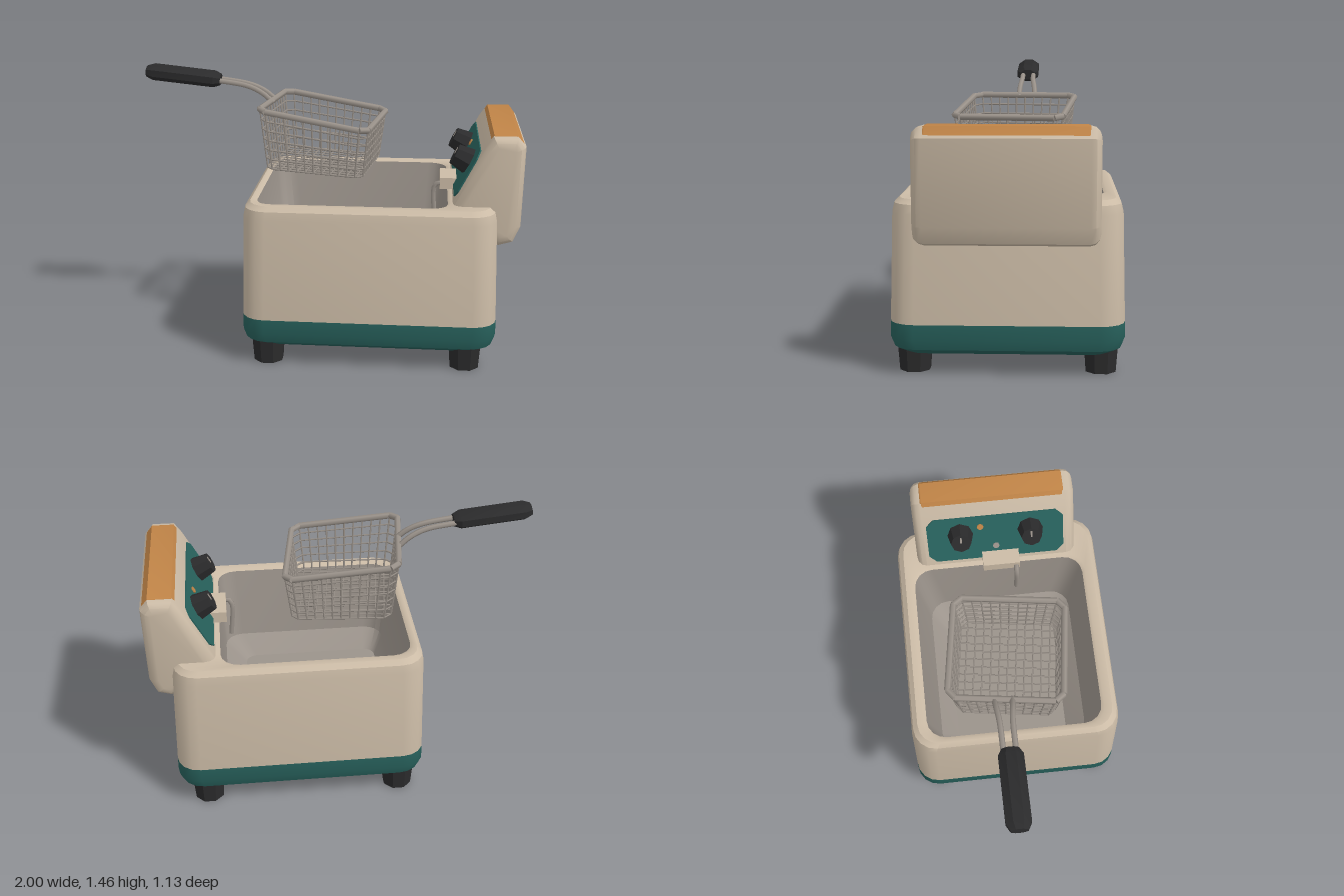
import * as THREE from 'three';
import { mergeGeometries, toCreasedNormals } from 'three/addons/utils/BufferGeometryUtils.js';

const paint = (name, color) => {
  const m = new THREE.MeshStandardMaterial({ color });
  m.name = name;
  return m;
};

// Rounded rectangle at height y, counter-clockwise from above
function ring([y, x0, x1, z0, z1, r], seg = 4) {
  const corners = [[x1 - r, z0 + r], [x0 + r, z0 + r], [x0 + r, z1 - r], [x1 - r, z1 - r]];
  return corners.flatMap(([cx, cz], k) => Array.from({ length: seg + 1 }, (_, i) => {
    const a = (k + i / seg) * Math.PI / 2;
    return new THREE.Vector3(cx + r * Math.cos(a), y, cz - r * Math.sin(a));
  }));
}

// Skin through rounded rectangles, with optional end caps
function loft(sections, capFirst, capLast) {
  const rings = sections.map(s => ring(s));
  const n = rings[0].length;
  const pts = [];
  const centre = s => new THREE.Vector3((s[1] + s[2]) / 2, s[0], (s[3] + s[4]) / 2);
  for (let i = 0; i < n; i++) {
    const j = (i + 1) % n;
    for (let k = 0; k + 1 < rings.length; k++) {
      const a = rings[k], b = rings[k + 1];
      pts.push(a[i], a[j], b[j], a[i], b[j], b[i]);
    }
    if (capFirst) pts.push(centre(sections[0]), rings[0][j], rings[0][i]);
    if (capLast) pts.push(centre(sections.at(-1)), rings.at(-1)[i], rings.at(-1)[j]);
  }
  return toCreasedNormals(new THREE.BufferGeometry().setFromPoints(pts), 0.6);
}

// Straight rod between two points
function rod(a, b, r, sides = 4) {
  const d = b.clone().sub(a);
  const g = new THREE.CylinderGeometry(r, r, d.length(), sides);
  g.applyQuaternion(new THREE.Quaternion().setFromUnitVectors(new THREE.Vector3(0, 1, 0), d.normalize()));
  return g.translate((a.x + b.x) / 2, (a.y + b.y) / 2, (a.z + b.z) / 2);
}

// Profile in x-y, extruded along z between z0 and z1 with rounded ends
function slab(points, z0, z1, bevel) {
  const shape = new THREE.Shape(points.map(p => new THREE.Vector2(...p)));
  const g = new THREE.ExtrudeGeometry(shape, {
    depth: z1 - z0 - 2 * bevel, bevelSize: bevel, bevelThickness: bevel, bevelOffset: -bevel, bevelSegments: 3,
  });
  return toCreasedNormals(g.translate(0, 0, z0 + bevel), 0.6);
}

export function createModel() {
  const root = new THREE.Group();
  root.name = 'deepFryer';
  const cream = paint('cream enamel', 0xcbbba6);
  const green = paint('dark green', 0x28625d);
  const black = paint('black plastic', 0x2b2b2c);
  const orange = paint('copper orange', 0xc08447);
  const steel = paint('steel', 0x9b938b);
  const add = (name, geometry, material, parent = root) => {
    const m = new THREE.Mesh(geometry, material);
    m.name = name;
    parent.add(m);
    return m;
  };

  // Housing: green base, cream walls and rim, steel basin
  const seam = [0.255, -0.417, 0.884, -0.563, 0.563, 0.12];
  const lip = [0.838, -0.345, 0.625, -0.465, 0.46, 0.1];
  add('base', loft([
    [0.1, -0.35, 0.82, -0.5, 0.5, 0.1],
    [0.13, -0.405, 0.87, -0.548, 0.548, 0.12],
    [0.18, -0.418, 0.885, -0.565, 0.565, 0.12],
    seam,
  ], true, false), green);
  add('housing', loft([
    seam,
    [0.78, -0.406, 0.87, -0.55, 0.55, 0.12],
    [0.825, -0.398, 0.862, -0.54, 0.54, 0.12],
    [0.848, -0.375, 0.84, -0.515, 0.515, 0.11],
    [0.848, -0.36, 0.64, -0.48, 0.475, 0.1],
    lip,
  ]), cream);
  add('basin', loft([
    lip,
    [0.45, -0.3, 0.6, -0.4, 0.4, 0.1],
    [0.36, -0.25, 0.49, -0.31, 0.3, 0.06],
  ], false, true), steel);

  // Feet
  for (const x of [-0.285, 0.73]) for (const z of [-0.45, 0.45]) {
    const foot = new THREE.CylinderGeometry(0.088, 0.078, 0.13, 8).rotateY(Math.PI / 8);
    add('foot', toCreasedNormals(foot, 0.5), black).position.set(x, 0.065, z);
  }

  // Control head with copper top
  add('controlHead', slab([
    [0.645, 0.84], [0.8, 1.14], [0.84, 1.198], [0.96, 1.198], [1.0, 1.15],
    [0.99, 0.74], [0.955, 0.66], [0.88, 0.638], [0.65, 0.78],
  ].reverse(), -0.438, 0.435, 0.05), cream);
  add('headCap', slab([
    [0.817, 1.163], [0.842, 1.203], [0.96, 1.203], [0.99, 1.163],
  ].reverse(), -0.39, 0.38, 0.012), orange);

  // Sloping control panel: local x runs along z, local z points outward
  const panel = new THREE.Group();
  panel.name = 'controlPanel';
  const up = new THREE.Vector3(0.155, 0.3, 0).normalize();
  const side = new THREE.Vector3(0, 0, 1);
  const out = side.clone().cross(up);
  panel.applyMatrix4(new THREE.Matrix4().makeBasis(side, up, out));
  panel.position.set(0.7225, 0.99, 0).addScaledVector(out, 0.001);
  root.add(panel);
  const w = 0.37, h = 0.135, c = 0.04;
  const plate = new THREE.Shape([
    [-w + c, -h], [w - c, -h], [w, -h + c], [w, h - c], [w - c, h], [-w + c, h], [-w, h - c], [-w, -h + c],
  ].map(p => new THREE.Vector2(...p)));
  add('panelPlate', new THREE.ExtrudeGeometry(plate, { depth: 0.007, bevelEnabled: false }), green, panel);
  for (const x of [-0.19, 0.19]) {
    const knob = new THREE.CylinderGeometry(0.055, 0.07, 0.085, 8).rotateX(Math.PI / 2);
    add('knob', toCreasedNormals(knob, 0.5), black, panel).position.set(x, 0.03, 0.048);
    add('knobPointer', new THREE.BoxGeometry(0.01, 0.035, 0.006), steel, panel).position.set(x, 0.05, 0.091);
  }
  const disc = () => new THREE.CylinderGeometry(0.018, 0.018, 0.008, 8).rotateX(Math.PI / 2);
  add('lamp', disc(), orange, panel).position.set(-0.08, 0.07, 0.009);
  add('button', disc(), steel, panel).position.set(0, -0.06, 0.009);

  // Bracket and hanger at the basin edge
  add('bracket', new THREE.BoxGeometry(0.09, 0.06, 0.2), cream).position.set(0.63, 0.878, 0.02);
  const hanger = new THREE.CatmullRomCurve3([[0.62, 0.87], [0.575, 0.878], [0.555, 0.85], [0.565, 0.66]]
    .map(([x, y]) => new THREE.Vector3(x, y, 0.1)));
  add('hanger', new THREE.TubeGeometry(hanger, 10, 0.014, 6), steel);

  // Basket: u, v across the square, t from rim (0) to floor (1)
  const basketPoint = (u, v, t) => {
    const s = 0.285 - 0.03 * t;
    return new THREE.Vector3(
      -0.035 + s * (0.99 * u - 0.139 * v),
      THREE.MathUtils.lerp(1.23 - 0.042 * u, 0.95 - 0.01 * u, t),
      -0.015 + s * (0.139 * u + 0.99 * v));
  };
  const k = 0.86;
  const outline = [[-k, -1], [k, -1], [1, -k], [1, k], [k, 1], [-k, 1], [-1, k], [-1, -k]];
  const hoop = (t, r, sides) => outline.map((p, i) =>
    rod(basketPoint(...p, t), basketPoint(...outline[(i + 1) % 8], t), r, sides));
  add('basketRim', mergeGeometries(hoop(0, 0.017, 6)), steel);
  const wires = [];
  for (let i = 1; i <= 6; i++) wires.push(...hoop(i / 6, 0.005));
  for (let i = 0; i <= 10; i++) {
    const a = THREE.MathUtils.lerp(-k, k, i / 10);
    for (const s of [-1, 1]) {
      wires.push(rod(basketPoint(a, s, 0), basketPoint(a, s, 1), 0.005));
      wires.push(rod(basketPoint(s, a, 0), basketPoint(s, a, 1), 0.005));
    }
    wires.push(rod(basketPoint(a, -1, 1), basketPoint(a, 1, 1), 0.004));
    wires.push(rod(basketPoint(-1, a, 1), basketPoint(1, a, 1), 0.004));
  }
  add('basketMesh', mergeGeometries(wires), steel);

  // Basket handle: two bent rods and a faceted grip
  for (const s of [-1, 1]) {
    const path = new THREE.CatmullRomCurve3([
      [-0.31, 1.265, 0.045], [-0.37, 1.315, 0.04], [-0.45, 1.35, 0.032], [-0.64, 1.38, 0.03],
    ].map(([x, y, z]) => new THREE.Vector3(x, y, -0.065 + s * z)));
    add('handleRod', new THREE.TubeGeometry(path, 12, 0.014, 6), steel);
  }
  const grip = new THREE.LatheGeometry([
    [0, -0.2], [0.045, -0.2], [0.066, -0.165], [0.066, 0.165], [0.045, 0.203], [0, 0.203],
  ].map(p => new THREE.Vector2(...p)), 8, Math.PI / 8);
  grip.scale(0.68, 1, 1);
  const gripMesh = add('grip', toCreasedNormals(grip, 0.5), black);
  gripMesh.position.set(-0.797, 1.397, -0.062);
  gripMesh.rotation.z = 1.467;

  return root;
}
